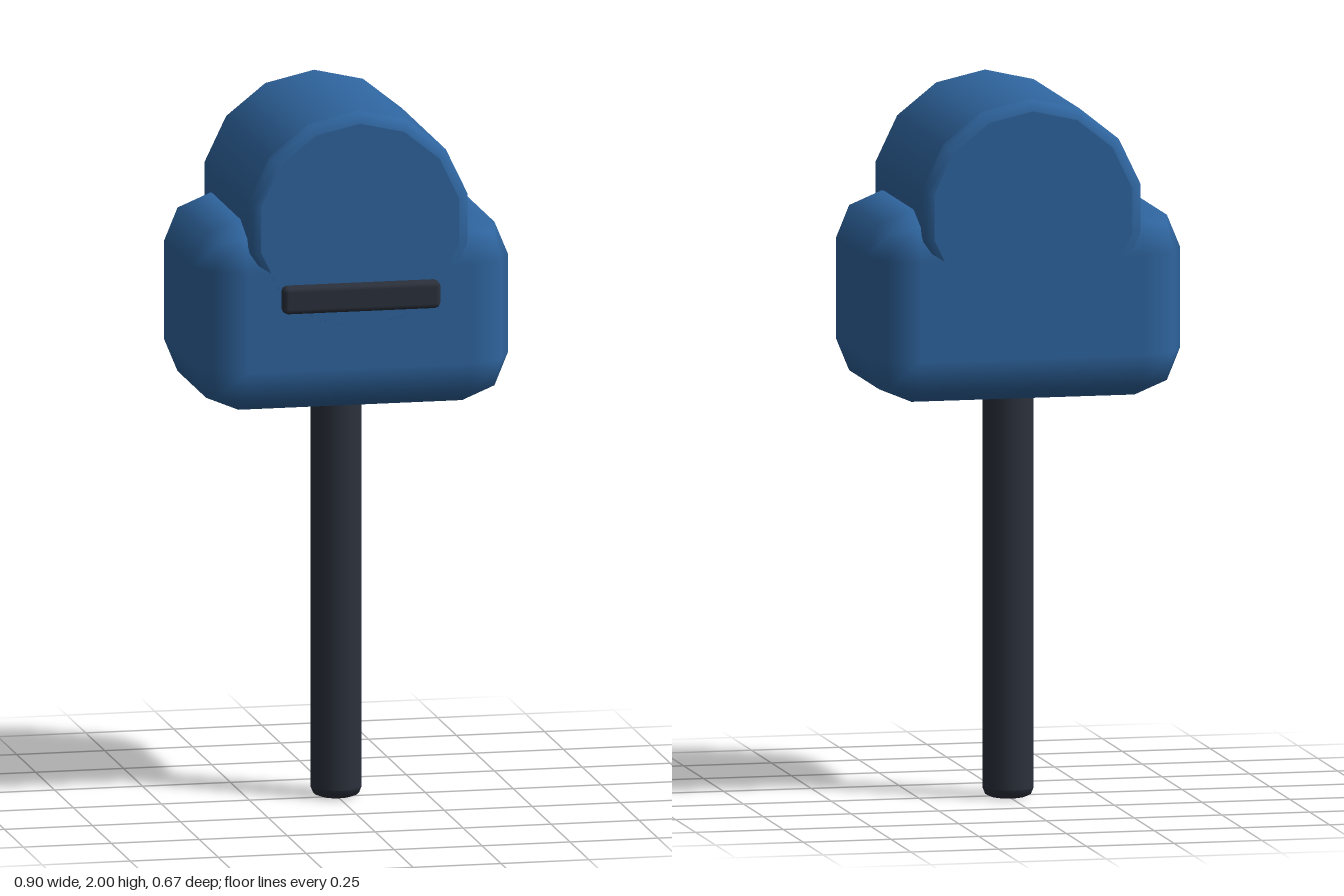
import * as THREE from 'three';
import { RoundedBoxGeometry } from 'three/addons/geometries/RoundedBoxGeometry.js';

const blue = new THREE.MeshStandardMaterial({ color: 0x2f659f });
blue.name = 'blue paint';
const dark = new THREE.MeshStandardMaterial({ color: 0x2b313c });
dark.name = 'dark metal';

// 14-sided cylinder from y = 0 to y = h with bevelled ends; extra rings keep the flats crisp
function bevelledCylinder(r, h, b) {
  const e = 0.002, k = b * 0.29;
  const half = [[0, 0], [r - b - e, 0], [r - b, 0], [r - k, k], [r, b], [r, b + e]];
  const profile = [...half, ...half.map(([x, y]) => [x, h - y]).reverse()];
  return new THREE.LatheGeometry(profile.map(([x, y]) => new THREE.Vector2(x, y)), 14);
}

export function createModel() {
  const group = new THREE.Group();
  group.name = 'mailbox';
  const add = (name, geometry, material, x, y, z) => {
    const mesh = new THREE.Mesh(geometry, material);
    mesh.name = name;
    mesh.position.set(x, y, z);
    group.add(mesh);
    return mesh;
  };
  const zMid = -0.0175;

  // Round post, its top tucked into the box
  add('post', bevelledCylinder(0.071, 1.16, 0.025), dark, 0, 0, zMid);

  // Chunky rounded box
  add('box', new RoundedBoxGeometry(0.896, 0.54, 0.637, 1, 0.13), blue, 0, 1.415, zMid);

  // Barrel roof lying front to back, lower half sunk in the box
  const roof = add('roof', bevelledCylinder(0.32, 0.637, 0.03), blue, 0, 1.68, zMid - 0.3185);
  roof.rotation.x = Math.PI / 2;

  // Letter slot bar on the front
  add('slot', new RoundedBoxGeometry(0.448, 0.078, 0.07, 1, 0.015), dark, 0, 1.48, 0.3);

  return group;
}
